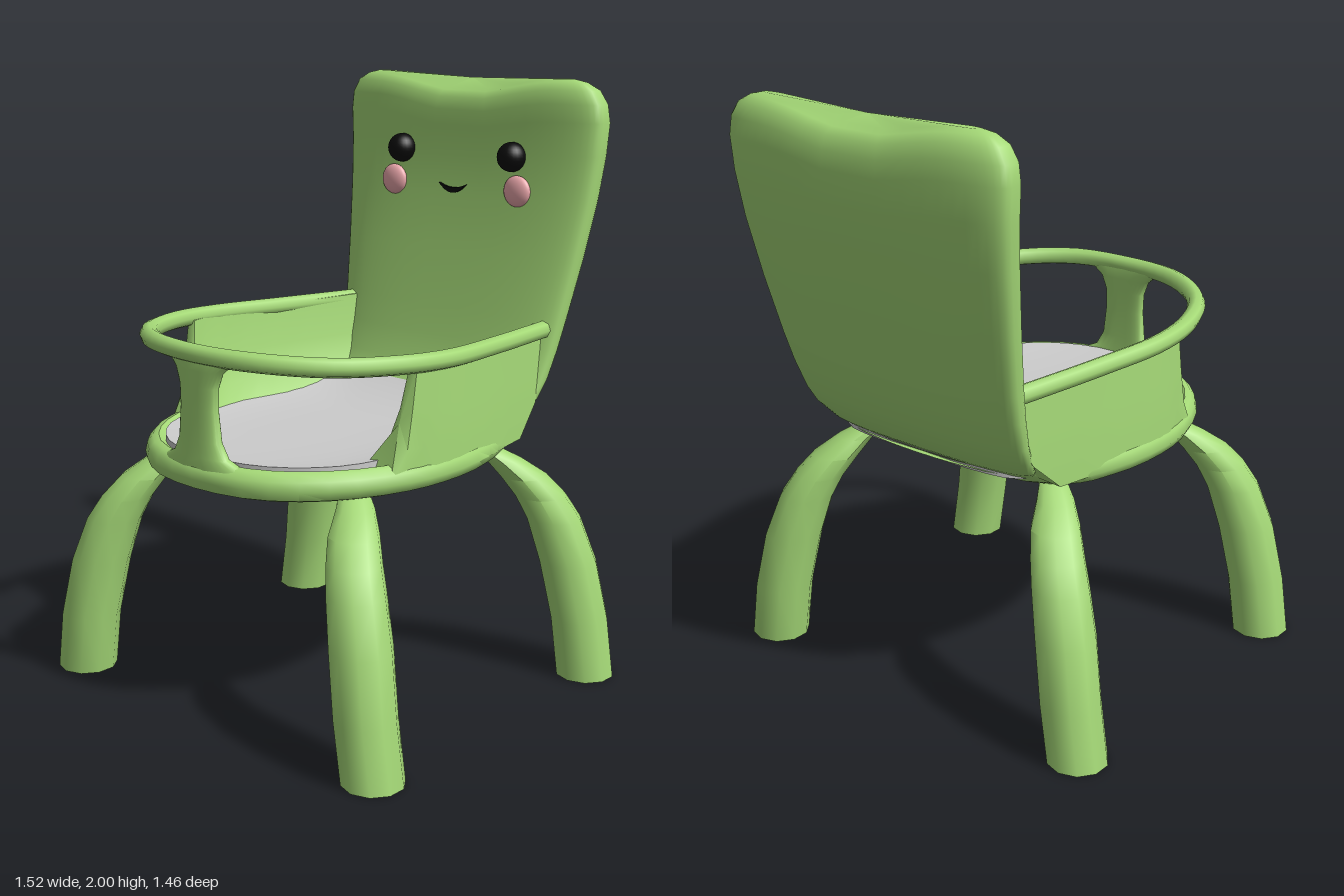
import * as THREE from 'three';
import { toCreasedNormals } from 'three/addons/utils/BufferGeometryUtils.js';

const mat = (color) => new THREE.MeshStandardMaterial({ color });
const green = mat(0xa5d977), grey = mat(0xcccccc), black = mat(0x0a0a0a), pink = mat(0xeda9ad);
const V = (x, y, z) => new THREE.Vector3(x, y, z);

// Capped skin over equal-length closed rings, always facing outwards
function loft(rings, crease = 0.8) {
  const n = rings[0].length, pts = rings.flat(), tris = [];
  for (let i = 0; i < rings.length - 1; i++)
    for (let j = 0; j < n; j++) {
      const a = i * n + j, b = i * n + (j + 1) % n;
      tris.push([a, b, a + n], [b, b + n, a + n]);
    }
  [rings[0], rings[rings.length - 1]].forEach((ring, e) => {
    const mid = ring.reduce((s, p) => s.add(p), V(0, 0, 0)).divideScalar(n);
    const c = pts.push(mid) - 1, o = e ? (rings.length - 1) * n : 0;
    for (let j = 0; j < n; j++) {
      const a = o + j, b = o + (j + 1) % n;
      tris.push(e ? [a, b, c] : [b, a, c]);
    }
  });
  let volume = 0;
  for (const [a, b, c] of tris) volume += pts[a].dot(pts[b].clone().cross(pts[c]));
  const geo = new THREE.BufferGeometry().setFromPoints(pts);
  geo.setIndex(tris.flatMap(([a, b, c]) => (volume > 0 ? [a, b, c] : [a, c, b])));
  return toCreasedNormals(geo, crease);
}

// Smooth closed plan outline from its +x half, given as [x, z] front to back
function outline(half) {
  const right = half.slice(1, -1).reverse().map(([x, z]) => [-x, z]);
  const pts = [...half, ...right].map(([x, z]) => V(x, 0, z));
  return new THREE.CatmullRomCurve3(pts, true).getPoints(48).slice(0, 48);
}

// Linear lookup in a table of [key, value]
function lookup(table, k) {
  let i = 0;
  while (i < table.length - 2 && k > table[i + 1][0]) i++;
  const [k0, v0] = table[i], [k1, v1] = table[i + 1];
  return THREE.MathUtils.lerp(v0, v1, THREE.MathUtils.clamp((k - k0) / (k1 - k0), 0, 1));
}

// Horizontal superellipse ring
function oval(y, w, front, back, power, n) {
  const s = (v) => Math.sign(v) * Math.abs(v) ** power;
  return Array.from({ length: n }, (_, i) => {
    const a = (i + 0.5) / n * Math.PI * 2;
    return V(w * s(Math.cos(a)), y, (front + back) / 2 + (front - back) / 2 * s(Math.sin(a)));
  });
}

export function createModel() {
  const group = new THREE.Group();
  const add = (name, geo, material = green) => {
    const mesh = new THREE.Mesh(geo, material);
    mesh.name = name;
    group.add(mesh);
    return mesh;
  };

  // Seat shell: [y, x scale, front z, back z]
  const plan = outline([[0, 0.73], [0.25, 0.68], [0.43, 0.52], [0.53, 0.3], [0.55, 0.1],
    [0.52, -0.15], [0.48, -0.32], [0.38, -0.45], [0.2, -0.49], [0, -0.5]]);
  const shell = [[0.775, 0.72, 0.52, -0.14], [0.785, 0.9, 0.68, -0.26], [0.8, 0.97, 0.72, -0.32],
    [0.83, 1, 0.73, -0.39], [0.86, 0.985, 0.725, -0.43], [0.88, 0.96, 0.705, -0.46],
    [0.885, 0.93, 0.685, -0.47], [0.86, 0.88, 0.65, -0.45]];
  add('seatShell', loft(shell.map(([y, sx, zf, zb]) =>
    plan.map((p) => V(p.x * sx, y, p.z > 0 ? p.z * zf / 0.73 : p.z * zb / -0.5)))));

  // Seat pad, rising towards the back
  const pad = outline([[0, 0.665], [0.22, 0.62], [0.38, 0.47], [0.44, 0.25], [0.44, 0.05],
    [0.42, -0.2], [0.37, -0.39], [0.2, -0.43], [0, -0.43]]);
  const padRings = [0.1, 0.3, 0.5, 0.65, 0.8, 0.9, 1].map((f) => pad.map((p) => {
    const z = 0.1 + (p.z - 0.1) * f, rise = Math.max(0, -z - 0.1) / 0.33;
    return V(p.x * f, 0.87 + 0.02 * f ** 4 + 0.07 * rise ** 2, z);
  }));
  padRings.push(pad.map((p) => V(p.x, 0.85, p.z)));
  add('seatPad', loft(padRings), grey);

  // Backrest: [y, half width, front z, back z]
  const back = [[0.82, 0.36, -0.25, -0.37], [0.88, 0.42, -0.33, -0.45], [0.94, 0.45, -0.385, -0.5],
    [1.0, 0.462, -0.415, -0.535], [1.1, 0.475, -0.445, -0.575], [1.2, 0.487, -0.47, -0.605],
    [1.4, 0.513, -0.515, -0.655], [1.6, 0.537, -0.55, -0.7], [1.75, 0.55, -0.565, -0.725],
    [1.86, 0.557, -0.567, -0.732], [1.92, 0.548, -0.567, -0.728], [1.965, 0.52, -0.575, -0.715],
    [1.99, 0.475, -0.592, -0.693], [2.0, 0.43, -0.62, -0.66]];
  add('backrest', loft(back.map(([y, w, f, b]) => {
    const dip = 0.05 * THREE.MathUtils.smoothstep(y, 1.4, 2);
    return oval(y, w, f, b, lookup([[0.85, 0.75], [1.3, 0.6]], y), 48).map((p) => {
      p.y -= dip * (0.5 + 0.5 * Math.cos(Math.PI * Math.min(1, Math.abs(p.x) / 0.4)));
      return p;
    });
  }), 1.2));

  // Side walls with a slanted front edge
  const halfWidth = [[-0.55, 0.44], [-0.35, 0.48], [-0.15, 0.52], [0.1, 0.55], [0.2, 0.545], [0.37, 0.51]];
  const wallFront = [[0.83, 0.37], [0.88, 0.34], [0.93, 0.305], [1.0, 0.29], [1.19, 0.26]];
  const wallBack = back.map(([y, , f, b]) => [y, (f + b) / 2]);
  // [inset from the outline, y]
  const section = [[0.01, 0.83], [0.01, 0.93], [0.015, 1.05], [0.02, 1.19], [0.05, 1.19],
    [0.065, 1.05], [0.09, 0.95], [0.13, 0.88]];
  for (const side of [1, -1]) {
    const rings = Array.from({ length: 13 }, (_, i) => section.map(([inset, y]) => {
      const z = THREE.MathUtils.lerp(lookup(wallFront, y), lookup(wallBack, y), i / 12);
      return V(side * (lookup(halfWidth, z) - inset), y, z);
    }));
    add(side > 0 ? 'leftWall' : 'rightWall', loft(rings));
  }

  // Arm rail, one tube round the front
  const armHalf = [[0.43, 1.17, -0.51], [0.49, 1.18, -0.15], [0.525, 1.19, 0.13], [0.5, 1.2, 0.33],
    [0.4, 1.21, 0.53], [0.22, 1.22, 0.66]];
  const railPts = [...armHalf.map((p) => V(...p)), V(0, 1.22, 0.695),
    ...armHalf.slice().reverse().map(([x, y, z]) => V(-x, y, z))];
  const railCurve = new THREE.CatmullRomCurve3(railPts);
  add('armRail', new THREE.TubeGeometry(railCurve, 60, 0.031, 8));
  for (const side of [1, -1]) {
    add('railEnd', new THREE.SphereGeometry(0.031, 10, 8)).position.set(side * 0.43, 1.17, -0.51);
  }

  // Front post, flared at both ends: [y, half width, centre z, half depth]
  const post = [[0.84, 0.24, 0.69, 0.03], [0.875, 0.17, 0.69, 0.03], [0.9, 0.115, 0.69, 0.028],
    [0.95, 0.088, 0.69, 0.025], [1.05, 0.078, 0.69, 0.022], [1.12, 0.08, 0.69, 0.022],
    [1.17, 0.1, 0.69, 0.022], [1.195, 0.13, 0.69, 0.022], [1.22, 0.16, 0.69, 0.018]];
  add('frontPost', loft(post.map(([y, w, z, d]) => oval(y, w, z + d, z - d, 0.7, 24).map((p) => {
    p.z -= 0.75 * p.x * p.x;
    return p;
  }))));

  // Splayed legs: [y, x, z, radius]
  const leg = [[0, 0.665, 0.63, 0.1], [0.2, 0.635, 0.63, 0.1], [0.4, 0.597, 0.608, 0.1],
    [0.55, 0.553, 0.58, 0.094], [0.63, 0.517, 0.55, 0.088], [0.7, 0.476, 0.507, 0.081],
    [0.76, 0.432, 0.452, 0.062], [0.8, 0.39, 0.41, 0.045], [0.83, 0.36, 0.38, 0.025]];
  for (const [name, side, map] of [['frontLeftLeg', 1, (z) => z], ['frontRightLeg', -1, (z) => z],
    ['backLeftLeg', 1, (z) => 0.16 - z], ['backRightLeg', -1, (z) => 0.16 - z]]) {
    add(name, loft(leg.map(([y, x, z, r]) =>
      oval(y, r, r, -r, 1, 10).map((p) => V(side * (x + p.x), y, map(z + p.z))))));
  }

  // Face: eyes, cheeks and smile
  for (const side of [1, -1]) {
    add('eye', new THREE.SphereGeometry(0.051, 24, 16), black).position.set(side * 0.245 - 0.004, 1.735, -0.553);
    const cheek = add('cheek', new THREE.SphereGeometry(0.054, 24, 16), pink);
    cheek.position.set(side * 0.275 - 0.006, 1.62, -0.55);
    cheek.scale.z = 0.45;
  }
  const smile = new THREE.Shape();
  smile.moveTo(-0.06, 0.015);
  smile.quadraticCurveTo(0, -0.05, 0.06, 0.015);
  smile.quadraticCurveTo(0, -0.012, -0.06, 0.015);
  add('mouth', new THREE.ExtrudeGeometry(smile, { depth: 0.025, bevelEnabled: false }), black)
    .position.set(-0.01, 1.61, -0.568);

  return group;
}
